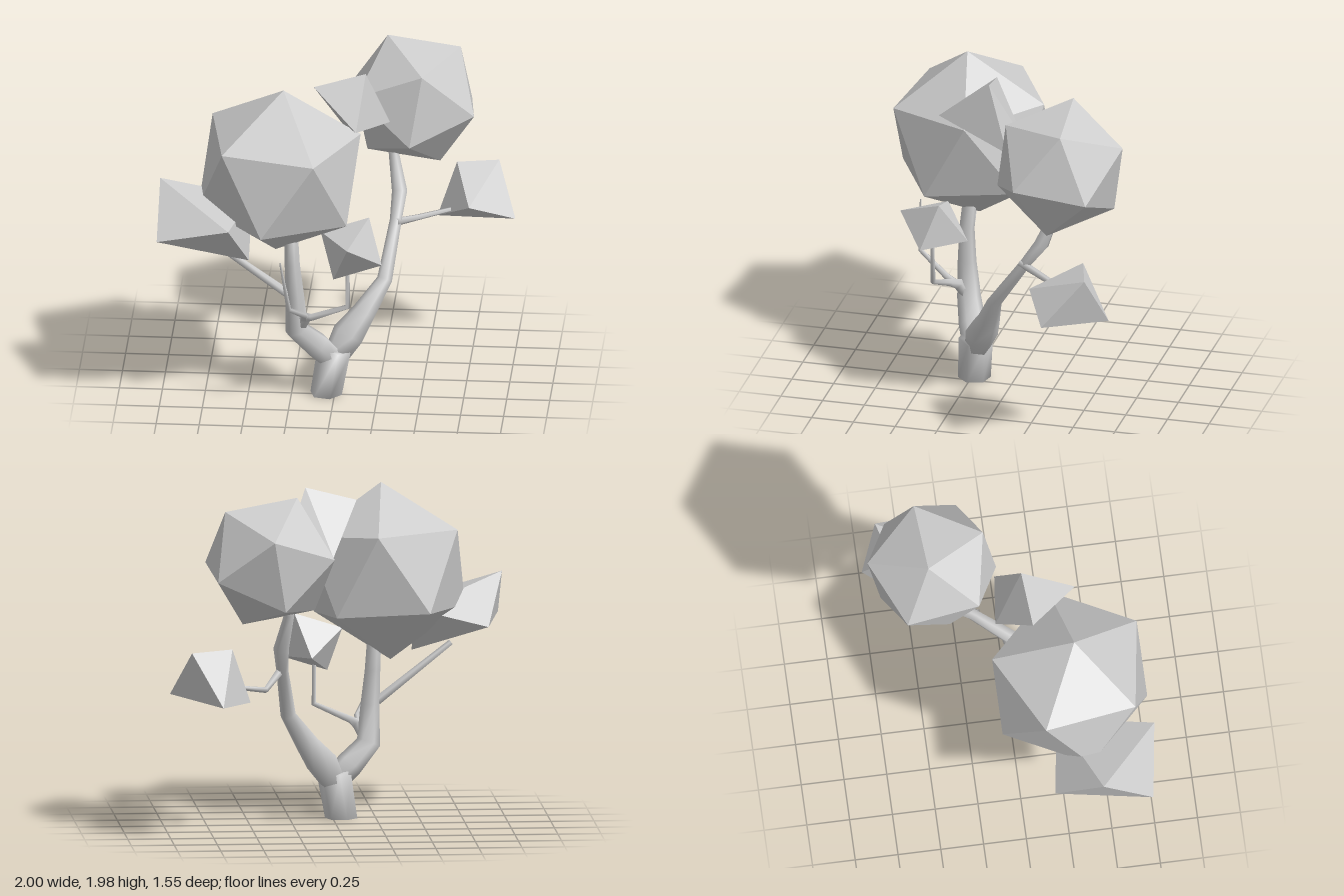
import * as THREE from 'three';
import { ConvexGeometry } from 'three/addons/geometries/ConvexGeometry.js';

const V = (a) => new THREE.Vector3(...a);

export function createModel() {
  const tree = new THREE.Group();
  tree.name = 'tree';
  const bark = new THREE.MeshStandardMaterial({ color: 0xcccccc });
  const leaf = new THREE.MeshStandardMaterial({ color: 0xcccccc, flatShading: true });

  const add = (name, geometry, material) => {
    const mesh = new THREE.Mesh(geometry, material);
    mesh.name = name;
    tree.add(mesh);
  };

  // Tapering limb: rings of vertices along [x, y, z, radius] stations, closed at both ends
  const limb = (name, stations, sides = 5) => {
    const pts = stations.map((s) => V(s.slice(0, 3)));
    const last = pts.length - 1;
    const pos = [], index = [];
    const u = new THREE.Vector3(0.3, 0.1, 1);
    pts.forEach((p, i) => {
      const t = pts[Math.min(i + 1, last)].clone().sub(pts[Math.max(i - 1, 0)]).normalize();
      if (i === 0 && p.y === 0) t.set(0, 1, 0);
      u.addScaledVector(t, -u.dot(t)).normalize();
      const v = t.clone().cross(u);
      for (let j = 0; j < sides; j++) {
        const a = (j / sides) * Math.PI * 2, r = stations[i][3];
        const q = p.clone().addScaledVector(u, r * Math.cos(a)).addScaledVector(v, r * Math.sin(a));
        pos.push(q.x, q.y, q.z);
        if (i < last) {
          const k = (j + 1) % sides, b = i * sides, c = b + sides;
          index.push(b + j, b + k, c + k, b + j, c + k, c + j);
        }
      }
    });
    for (let j = 1; j < sides - 1; j++) {
      const e = last * sides;
      index.push(0, j + 1, j, e, e + j, e + j + 1);
    }
    const g = new THREE.BufferGeometry();
    g.setAttribute('position', new THREE.Float32BufferAttribute(pos, 3));
    g.setIndex(index);
    g.computeVertexNormals();
    add(name, g, bark);
  };

  // Icosahedron turned so that two neighbouring corners land on the given points
  const crown = (name, center, cornerA, cornerB) => {
    const c = V(center), a = V(cornerA).sub(c), b = V(cornerB).sub(c);
    const basis = (p, q) => {
      const x = p.clone().normalize(), z = p.clone().cross(q).normalize();
      return new THREE.Matrix4().makeBasis(x, z.clone().cross(x), z);
    };
    const t = (1 + Math.sqrt(5)) / 2;
    const from = basis(V([-1, t, 0]), V([1, t, 0])).transpose();
    const g = new THREE.IcosahedronGeometry(a.length(), 0);
    g.applyMatrix4(basis(a, b).multiply(from));
    g.translate(...center);
    add(name, g, leaf);
  };

  // Leaf clump from its corners
  const clump = (name, corners) => add(name, new ConvexGeometry(corners.map(V)), leaf);
  // Eight-sided clump from its centre and three half axes
  const octaClump = (name, c, axes) =>
    clump(name, axes.flatMap((a) => [1, -1].map((s) => c.map((n, i) => n + s * a[i]))));

  // Trunk and the two main limbs of the fork
  limb('trunk', [[-0.05, 0, 0.235, 0.095], [-0.005, 0.27, 0.215, 0.1]], 6);
  limb('leftLimb', [[-0.01, 0.2, 0.21, 0.07], [0.07, 0.34, 0.16, 0.095], [0.16, 0.46, 0.1, 0.07],
    [0.275, 0.64, 0.03, 0.045], [0.325, 0.93, -0.17, 0.035], [0.34, 1.07, -0.27, 0.045],
    [0.3, 1.28, -0.35, 0.03], [0.33, 1.4, -0.38, 0.02]], 6);
  limb('rightLimb', [[0.0, 0.2, 0.22, 0.07], [-0.1, 0.31, 0.26, 0.08], [-0.215, 0.43, 0.31, 0.07],
    [-0.225, 0.65, 0.325, 0.055], [-0.24, 0.85, 0.33, 0.045], [-0.25, 1.08, 0.31, 0.04]], 6);

  // Side branches
  limb('rightBranch', [[-0.22, 0.63, 0.33, 0.028], [-0.7, 1.0, 0.38, 0.018]]);
  limb('frontBranch', [[-0.22, 0.42, 0.31, 0.04], [-0.16, 0.53, 0.36, 0.035],
    [-0.12, 0.55, 0.41, 0.022], [0.09, 0.64, 0.445, 0.017], [0.09, 0.88, 0.45, 0.012]]);
  limb('frontTwig', [[-0.17, 0.51, 0.35, 0.025], [-0.16, 0.57, 0.43, 0.02],
    [-0.24, 0.68, 0.605, 0.015], [-0.29, 0.98, 0.62, 0.005]]);
  limb('leftBranch', [[0.33, 0.93, -0.14, 0.025], [0.44, 0.85, -0.4, 0.018], [0.64, 0.88, -0.47, 0.013]]);

  // Large crowns
  crown('rightCrown', [-0.315, 1.435, 0.31], [-0.29, 1.95, 0.34], [-0.09, 1.63, 0.73]);
  crown('leftCrown', [0.415, 1.605, -0.4], [0.26, 1.98, -0.44], [0.69, 1.9, -0.47]);

  // Small leaf clumps
  octaClump('rightClump', [-0.74, 1.175, 0.46], [[-0.26, 0.235, -0.04], [-0.26, -0.045, 0.25], [0.16, 0.055, 0.31]]);
  octaClump('frontClump', [0.11, 1.005, 0.435], [[-0.01, 0.07, 0.205], [0.1, 0.175, -0.055], [0.18, -0.085, 0.038]]);
  clump('topClump', [[0.17, 1.96, 0.09], [0.135, 1.72, 0.4], [0.3, 1.6, -0.05], [-0.13, 1.88, 0.12], [0.02, 1.57, -0.08]]);
  clump('leftClump', [[0.65, 1.12, -0.6], [0.89, 1.11, -0.67], [1.0, 0.84, -0.44],
    [0.54, 0.8, -0.55], [0.715, 0.8, -0.77], [0.74, 0.96, -0.3]]);

  return tree;
}
